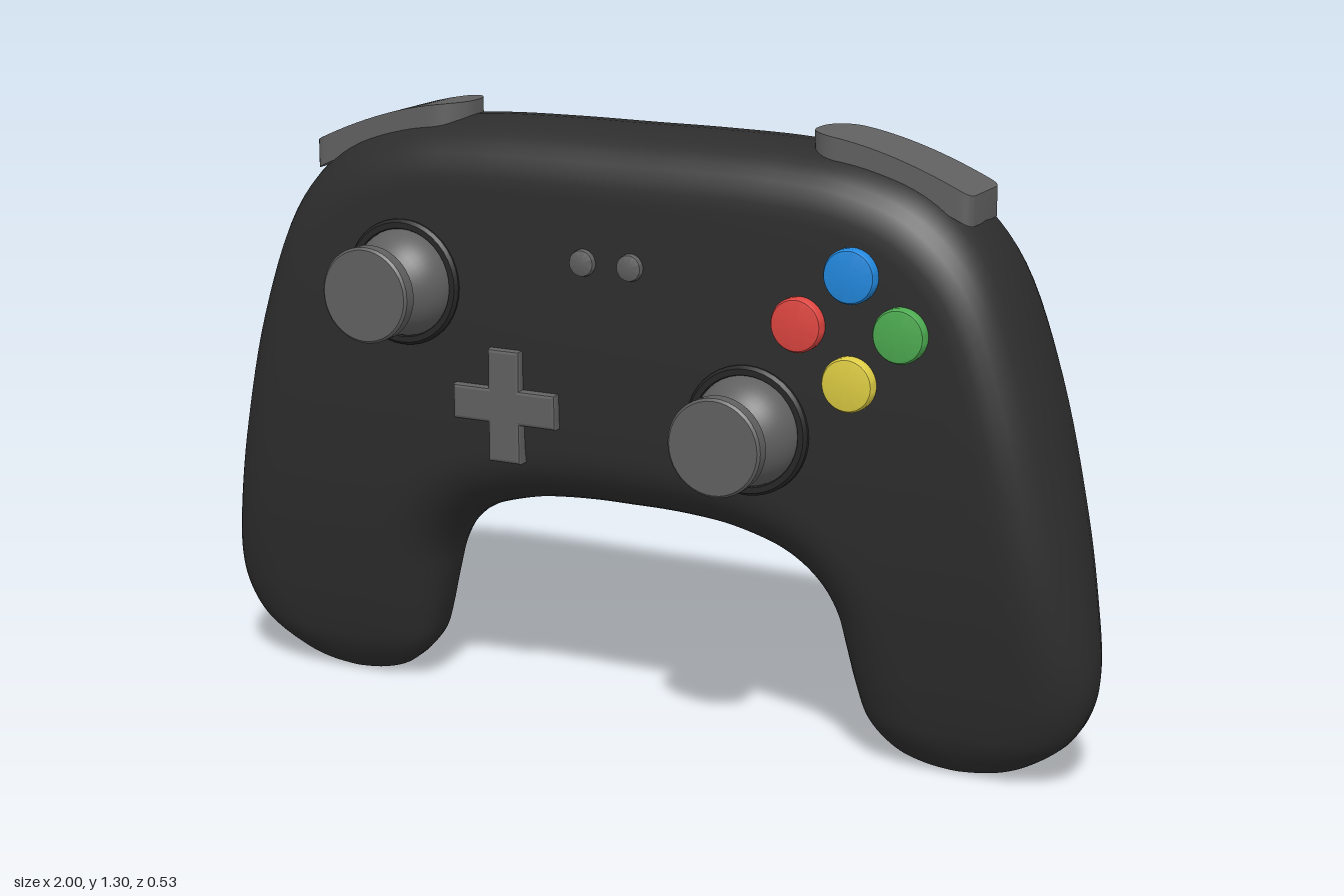
import * as THREE from 'three';
import { toCreasedNormals } from 'three/addons/utils/BufferGeometryUtils.js';

const material = (name, color) => {
  const m = new THREE.MeshStandardMaterial({ color });
  m.name = name;
  return m;
};

// Smooth height-to-depth function through [y, z] pairs
function profile(points) {
  const slope = (i) => {
    const a = points[Math.max(i - 1, 0)], b = points[Math.min(i + 1, points.length - 1)];
    return (b[1] - a[1]) / (b[0] - a[0]);
  };
  return (y) => {
    let i = 0;
    while (i < points.length - 2 && y > points[i + 1][0]) i++;
    const [y0, z0] = points[i], [y1, z1] = points[i + 1];
    const h = y1 - y0, t = THREE.MathUtils.clamp((y - y0) / h, 0, 1), u = 1 - t;
    return z0 * (1 + 2 * t) * u * u + slope(i) * h * t * u * u
      + z1 * t * t * (3 - 2 * t) - slope(i + 1) * h * t * t * u;
  };
}

// Body: cross-sections swept from one grip tip over the middle to the other
function bodyGeometry() {
  // Stations: outer edge x, y and inner edge x, y
  const half = [
    [0.71, 0, 0.71, 0], [0.80, 0.012, 0.64, 0.008], [0.87, 0.04, 0.575, 0.033],
    [0.945, 0.095, 0.52, 0.09], [0.985, 0.16, 0.495, 0.16], [1.0, 0.24, 0.475, 0.24],
    [0.99, 0.36, 0.457, 0.31], [0.955, 0.565, 0.43, 0.36], [0.89, 0.83, 0.39, 0.40],
    [0.80, 1.06, 0.34, 0.43], [0.68, 1.19, 0.28, 0.45], [0.53, 1.25, 0.21, 0.465],
    [0.36, 1.27, 0.14, 0.472], [0.18, 1.275, 0.07, 0.475], [0, 1.275, 0, 0.475],
  ];
  const stations = [...half, ...half.slice(0, -1).reverse().map(([a, b, c, d]) => [-a, b, -c, d])];
  const outer = new THREE.SplineCurve(stations.map((s) => new THREE.Vector2(s[0], s[1])));
  const inner = new THREE.SplineCurve(stations.map((s) => new THREE.Vector2(s[2], s[3])));
  const front = profile([[0, -0.01], [0.1, 0.02], [0.2, 0.045], [0.4, 0.082], [0.6, 0.102], [0.8, 0.11], [1.3, 0.11]]);
  const back = profile([[0, -0.225], [0.12, -0.235], [0.22, -0.222], [0.35, -0.23], [0.5, -0.248], [0.75, -0.262], [1.3, -0.26]]);

  // Section outline: [side, position across, height fraction]
  const CORNER = 9, FLAT = 7, POWER = 2 / 2.2, MIDDLE = -0.05;
  const sectionSide = (O, I, radius, depth) => {
    const w = O.distanceTo(I), r = Math.min(radius, w / 2), list = [];
    const add = (distance, rise) => {
      const p = O.clone().lerp(I, w > 1e-6 ? distance / w : 0);
      const tip = 1 - Math.min(Math.max(p.y, 0) / 0.1, 1);
      const z = MIDDLE + (depth(p.y) - MIDDLE) * Math.sqrt(1 - tip * tip) * rise;
      list.push([p.x, p.y, z]);
    };
    const corner = (k) => {
      const a = (k / CORNER) * Math.PI / 2;
      return [r * (1 - Math.max(Math.cos(a), 0) ** POWER), Math.sin(a) ** POWER];
    };
    for (let k = 0; k <= CORNER; k++) add(...corner(k));
    for (let k = 1; k < FLAT; k++) add(r + (w - 2 * r) * k / FLAT, 1);
    for (let k = CORNER; k >= 0; k--) { const [e, rise] = corner(k); add(w - e, rise); }
    return list;
  };

  const steps = (stations.length - 1) * 6, positions = [], index = [];
  let n = 0;
  for (let i = 0; i <= steps; i++) {
    const O = outer.getPoint(i / steps), I = inner.getPoint(i / steps);
    const loop = [...sectionSide(O, I, 0.14, front), ...sectionSide(O, I, 0.21, back).slice(1, -1).reverse()];
    n = loop.length;
    loop.forEach((p) => positions.push(...p));
  }
  for (let i = 0; i < steps; i++) {
    for (let j = 0; j < n; j++) {
      const a = i * n + j, b = i * n + (j + 1) % n, c = a + n, d = b + n;
      index.push(a, c, b, b, c, d);
    }
  }
  const g = new THREE.BufferGeometry();
  g.setAttribute('position', new THREE.Float32BufferAttribute(positions, 3));
  g.setIndex(index);
  g.computeVertexNormals();
  return g;
}

// Round part facing forward, from [radius, z] points
function turned(points, segments = 40) {
  const g = new THREE.LatheGeometry(points.map(([r, z]) => new THREE.Vector2(r, z)), segments);
  g.rotateX(Math.PI / 2);
  return toCreasedNormals(g, 0.6);
}

const buttonGeometry = (r, z0, z1) => turned([[0, z0], [r, z0], [r, z1 - 0.008], [r * 0.93, z1 - 0.001], [r * 0.85, z1], [0, z1]]);

// Shoulder button: a slab bent down toward its outer end
function shoulderGeometry(side) {
  const L = 0.35, W = 0.08, T = 0.06;
  const g = new THREE.BoxGeometry(L, T, W * 2, 32, 1, 1);
  const p = g.attributes.position;
  const rounding = (distance, r) => {
    const t = Math.max(1 - distance / r, 0);
    return r * (1 - Math.sqrt(1 - t * t));
  };
  for (let i = 0; i < p.count; i++) {
    // Ease the spacing so the rounded ends get more sections
    const t = (1 - Math.cos((p.getX(i) / L + 0.5) * Math.PI)) / 2;
    const d = side > 0 ? t * L : (1 - t) * L;
    const width = W - rounding(d, 0.07) - rounding(L - d, 0.02);
    const top = 1.297 - 0.1 * (d / L) ** 1.7;
    p.setXYZ(i, side * (0.39 + d), top + p.getY(i) - T / 2, Math.sign(p.getZ(i)) * width - 0.045);
  }
  return toCreasedNormals(g, 0.6);
}

// Cross-shaped pad with a small bevel
function padGeometry() {
  const a = 0.113, b = 0.03, shape = new THREE.Shape();
  [[b, a], [b, b], [a, b], [a, -b], [b, -b], [b, -a], [-b, -a], [-b, -b], [-a, -b], [-a, b], [-b, b], [-b, a]]
    .reverse()
    .forEach(([x, y], i) => (i ? shape.lineTo(x, y) : shape.moveTo(x, y)));
  return new THREE.ExtrudeGeometry(shape, { depth: 0.04, bevelSize: 0.007, bevelThickness: 0.006, bevelSegments: 2 });
}

export function createModel() {
  const model = new THREE.Group();
  model.name = 'gamepad';
  const shell = material('charcoal shell', 0x2d2d2d);
  const rim = material('dark rim', 0x262626);
  const grey = material('grey control', 0x606060);

  const add = (parent, name, geometry, mat, x = 0, y = 0, z = 0) => {
    const mesh = new THREE.Mesh(geometry, mat);
    mesh.name = name;
    mesh.position.set(x, y, z);
    parent.add(mesh);
    return mesh;
  };

  add(model, 'body', bodyGeometry(), shell);

  // Thumbsticks: rim, dome, stem and cap
  const dome = [];
  for (let i = 0; i <= 12; i++) {
    const a = (i / 12) * Math.PI / 2;
    dome.push([0.115 * Math.cos(a), 0.1 + 0.105 * Math.sin(a)]);
  }
  for (const [name, x, y] of [['rightStick', -0.48, 0.93], ['leftStick', 0.31, 0.705]]) {
    const stick = new THREE.Group();
    stick.name = name;
    stick.position.set(x, y, 0);
    model.add(stick);
    add(stick, 'stickRim', turned([[0, 0.06], [0.133, 0.06], [0.133, 0.115], [0.127, 0.122], [0.115, 0.122], [0.11, 0.112], [0, 0.112]]), rim);
    add(stick, 'stickDome', turned([[0.115, 0.07], ...dome]), grey);
    add(stick, 'stickStem', turned([[0.04, 0.18], [0.04, 0.245]]), grey);
    add(stick, 'stickCap', turned([[0, 0.238], [0.1, 0.238], [0.1, 0.264], [0.095, 0.269], [0, 0.269]]), grey);
  }

  // Coloured face buttons
  const faceButton = buttonGeometry(0.055, 0.07, 0.133);
  add(model, 'topButton', faceButton, material('blue', 0x2288dd), 0.53, 1.04);
  add(model, 'bottomButton', faceButton, material('yellow', 0xdccb42), 0.53, 0.825);
  add(model, 'innerButton', faceButton, material('red', 0xdd4540), 0.42, 0.933);
  add(model, 'outerButton', faceButton, material('green', 0x4caa50), 0.635, 0.933);

  // Grey menu buttons and directional pad
  const menuButton = buttonGeometry(0.028, 0.07, 0.123);
  for (const x of [-0.057, 0.05]) add(model, 'menuButton', menuButton, grey, x, 1.01);
  add(model, 'directionalPad', padGeometry(), grey, -0.237, 0.692, 0.081);

  // Shoulder buttons
  add(model, 'leftShoulder', shoulderGeometry(1), grey);
  add(model, 'rightShoulder', shoulderGeometry(-1), grey);
  return model;
}
